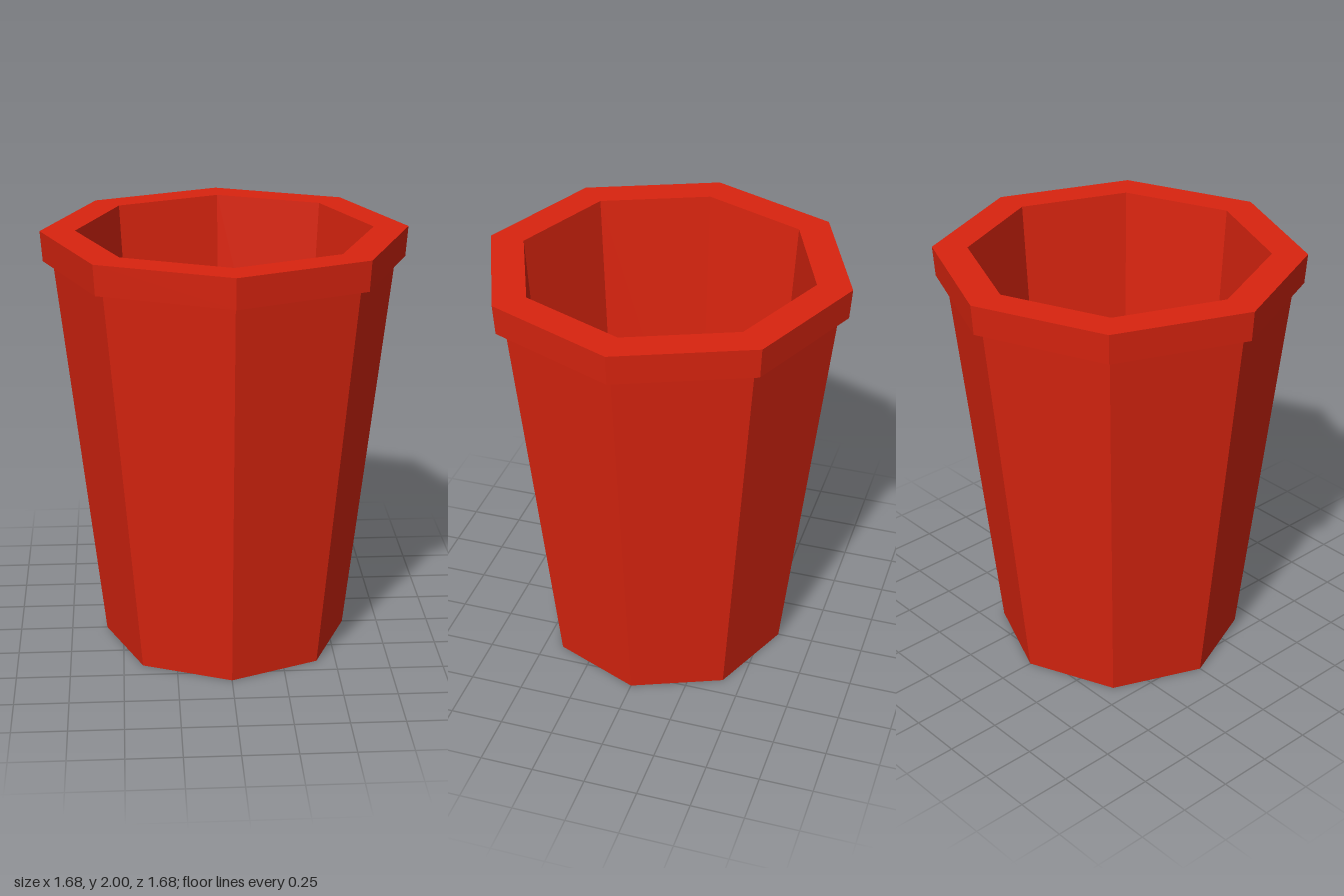
import * as THREE from 'three';

const SIDES = 8;

export function createModel() {
  const model = new THREE.Group();
  model.name = 'cup';

  const red = new THREE.MeshStandardMaterial({ color: 0xd9240f, flatShading: true });
  red.name = 'red';

  // Eight-sided ring of faces turned from a [radius, height] profile
  const addTurned = (name, profile) => {
    const points = profile.map(([r, y]) => new THREE.Vector2(r, y));
    const mesh = new THREE.Mesh(new THREE.LatheGeometry(points, SIDES), red);
    mesh.name = name;
    model.add(mesh);
  };

  // Closed base and tapered outer wall
  addTurned('outerWall', [[0, 0], [0.58, 0], [0.785, 1.86]]);
  // Overhanging lip
  addTurned('rim', [[0.785, 1.86], [0.83, 1.86], [0.84, 2], [0.68, 2]]);
  // Hollow inside, narrowing to the floor
  addTurned('interior', [[0.68, 2], [0.56, 0.25], [0, 0.25]]);

  return model;
}
